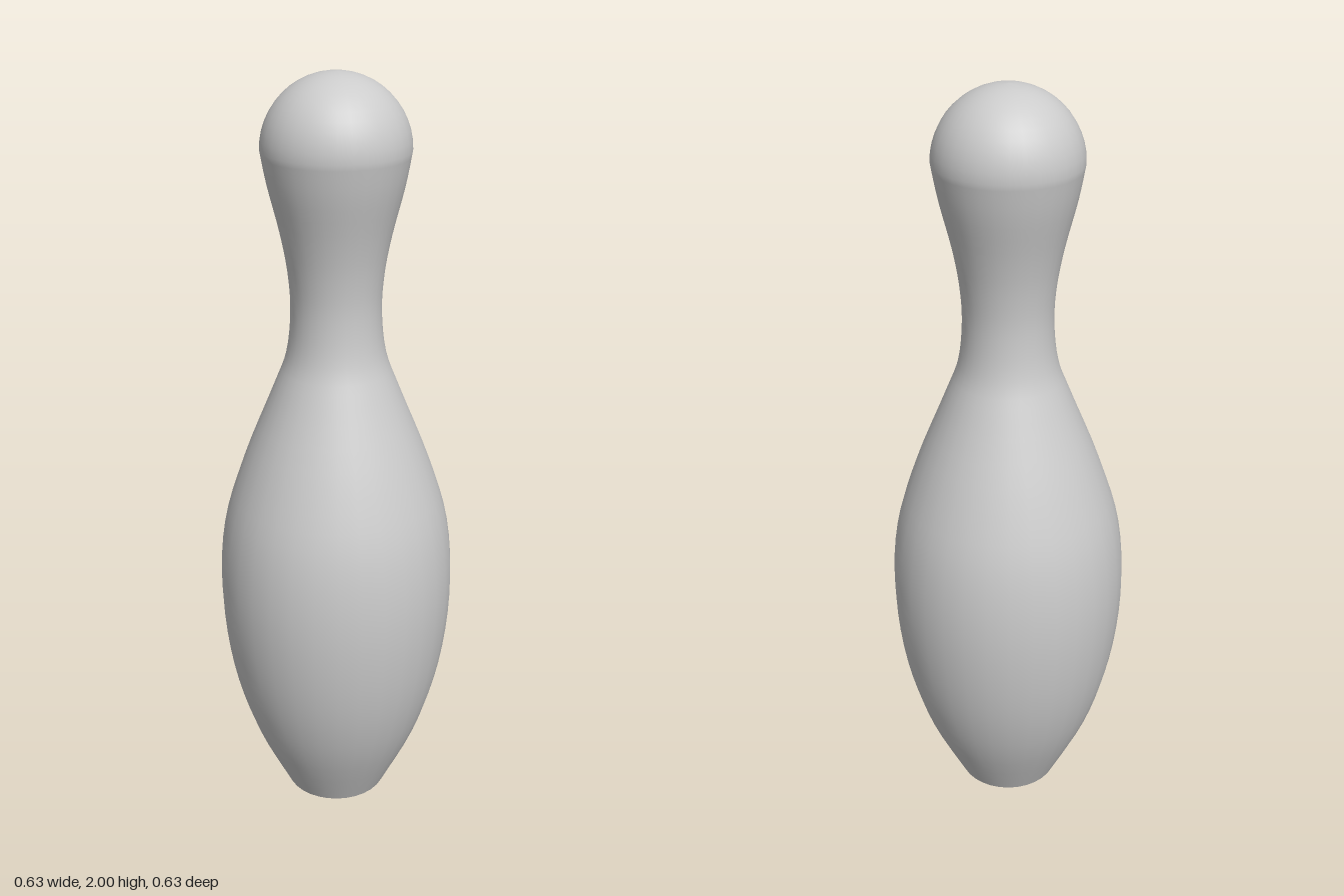
import * as THREE from 'three';

export function createModel() {
  const group = new THREE.Group();
  group.name = 'pin';
  const material = new THREE.MeshStandardMaterial({ color: 0xcccccc });
  const sides = 32;

  // Silhouette from the foot, over the belly and neck, to the side of the head
  const flank = new THREE.SplineCurve([
    [0.138, 0], [0.232, 0.2], [0.289, 0.4], [0.313, 0.62], [0.299, 0.82],
    [0.246, 1.0], [0.165, 1.2], [0.128, 1.3], [0.116, 1.41], [0.122, 1.51],
    [0.14, 1.61], [0.17, 1.73], [0.186, 1.815],
  ].map(([r, y]) => new THREE.Vector2(r, y)));
  const profile = flank.getPoints(48);

  // Rounded crown of the head
  const steps = 12;
  for (let i = 1; i <= steps; i++) {
    const a = (i / steps) * Math.PI / 2;
    profile.push(new THREE.Vector2(i === steps ? 0 : 0.186 * Math.cos(a), 1.815 + 0.185 * Math.sin(a)));
  }
  const body = new THREE.Mesh(new THREE.LatheGeometry(profile, sides), material);
  body.name = 'body';
  group.add(body);

  // Flat underside
  const base = new THREE.Mesh(new THREE.CircleGeometry(0.138, sides), material);
  base.name = 'base';
  base.rotation.x = Math.PI / 2;
  group.add(base);

  return group;
}
